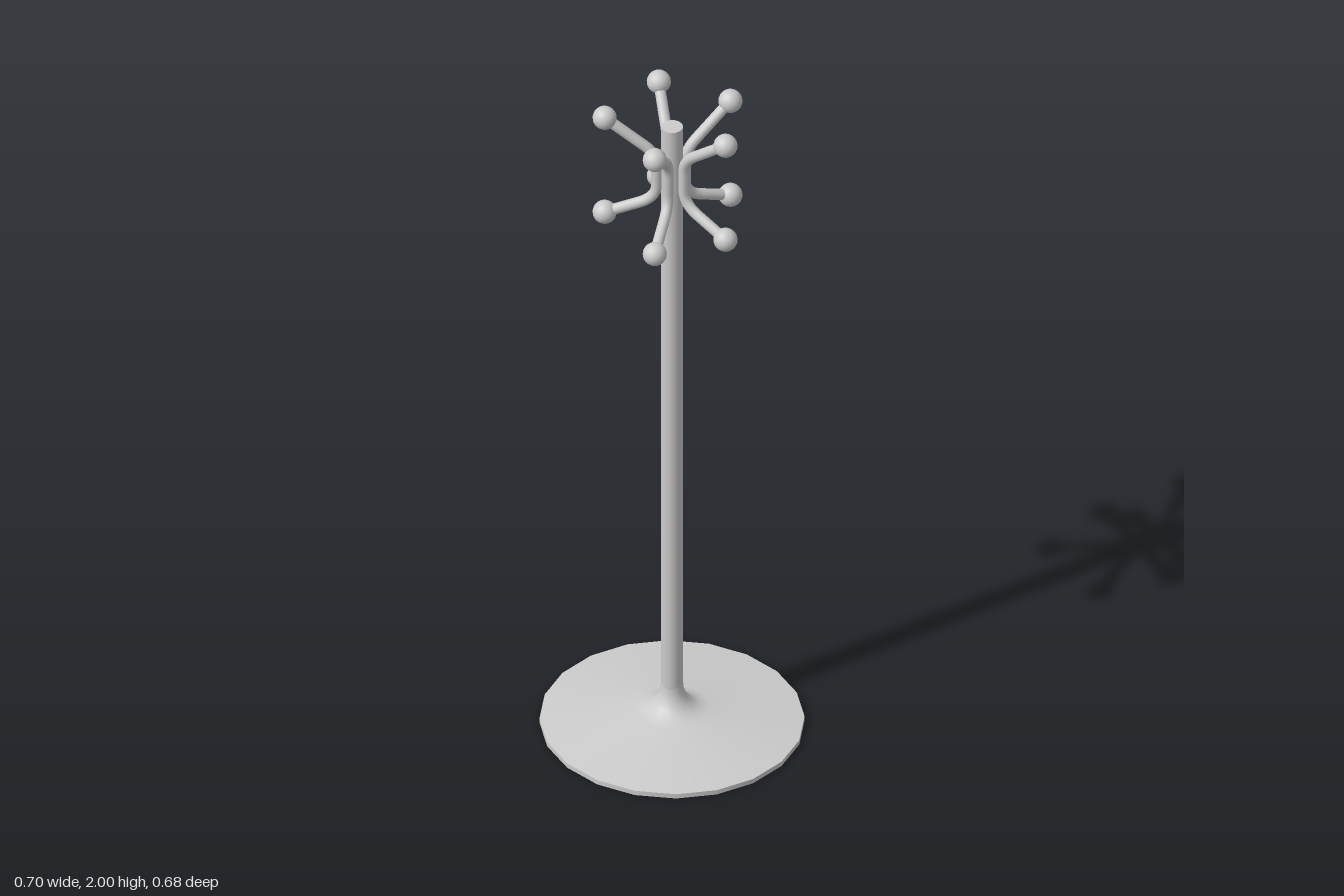
import * as THREE from 'three';

const material = new THREE.MeshStandardMaterial({ color: 0xcccccc });

function addMesh(parent, name, geometry) {
  const mesh = new THREE.Mesh(geometry, material);
  mesh.name = name;
  parent.add(mesh);
  return mesh;
}

const lathe = (points, sides) =>
  new THREE.LatheGeometry(points.map(([r, y]) => new THREE.Vector2(r, y)), sides);

// Double hook in the yz plane: two splayed arms joined by an upright against the pole
function createHook() {
  const hook = new THREE.Group();
  const p = (r, y) => new THREE.Vector3(0, y, r);
  const path = new THREE.CurvePath();
  path.add(new THREE.LineCurve3(p(0.178, 1.66), p(0.085, 1.698)));
  path.add(new THREE.QuadraticBezierCurve3(p(0.085, 1.698), p(0.04, 1.717), p(0.04, 1.76)));
  path.add(new THREE.LineCurve3(p(0.04, 1.76), p(0.04, 1.82)));
  path.add(new THREE.QuadraticBezierCurve3(p(0.04, 1.82), p(0.04, 1.857), p(0.074, 1.884)));
  path.add(new THREE.LineCurve3(p(0.074, 1.884), p(0.178, 1.968)));
  addMesh(hook, 'hookArm', new THREE.TubeGeometry(path, 40, 0.015, 12));

  // Ball ends
  for (const [name, y] of [['lowerBall', 1.66], ['upperBall', 1.968]]) {
    addMesh(hook, name, new THREE.SphereGeometry(0.032, 20, 14)).position.set(0, y, 0.178);
  }
  return hook;
}

export function createModel() {
  const model = new THREE.Group();
  model.name = 'coatStand';

  // Twenty-sided foot, flared smoothly up into the pole
  const base = new THREE.Group();
  base.name = 'base';
  addMesh(base, 'baseFlare', lathe([
    [0.35, 0.014], [0.26, 0.026], [0.17, 0.038], [0.1, 0.048], [0.075, 0.055],
    [0.053, 0.069], [0.038, 0.09], [0.031, 0.112], [0.029, 0.135],
  ], 20));
  addMesh(base, 'baseRim', lathe([[0.35, 0], [0.35, 0.014]], 20));
  addMesh(base, 'baseUnderside', new THREE.CircleGeometry(0.35, 20)).rotation.x = Math.PI / 2;
  base.scale.z = 0.97;
  model.add(base);

  // Pole
  addMesh(model, 'pole', new THREE.CylinderGeometry(0.029, 0.029, 1.83, 20)).position.y = 1.035;

  // Ring of five hooks, angles measured from the front towards +x
  for (const degrees of [2, 69, 137, 208, 282]) {
    const hook = createHook();
    hook.name = 'hook';
    hook.rotation.y = THREE.MathUtils.degToRad(degrees);
    model.add(hook);
  }
  return model;
}
